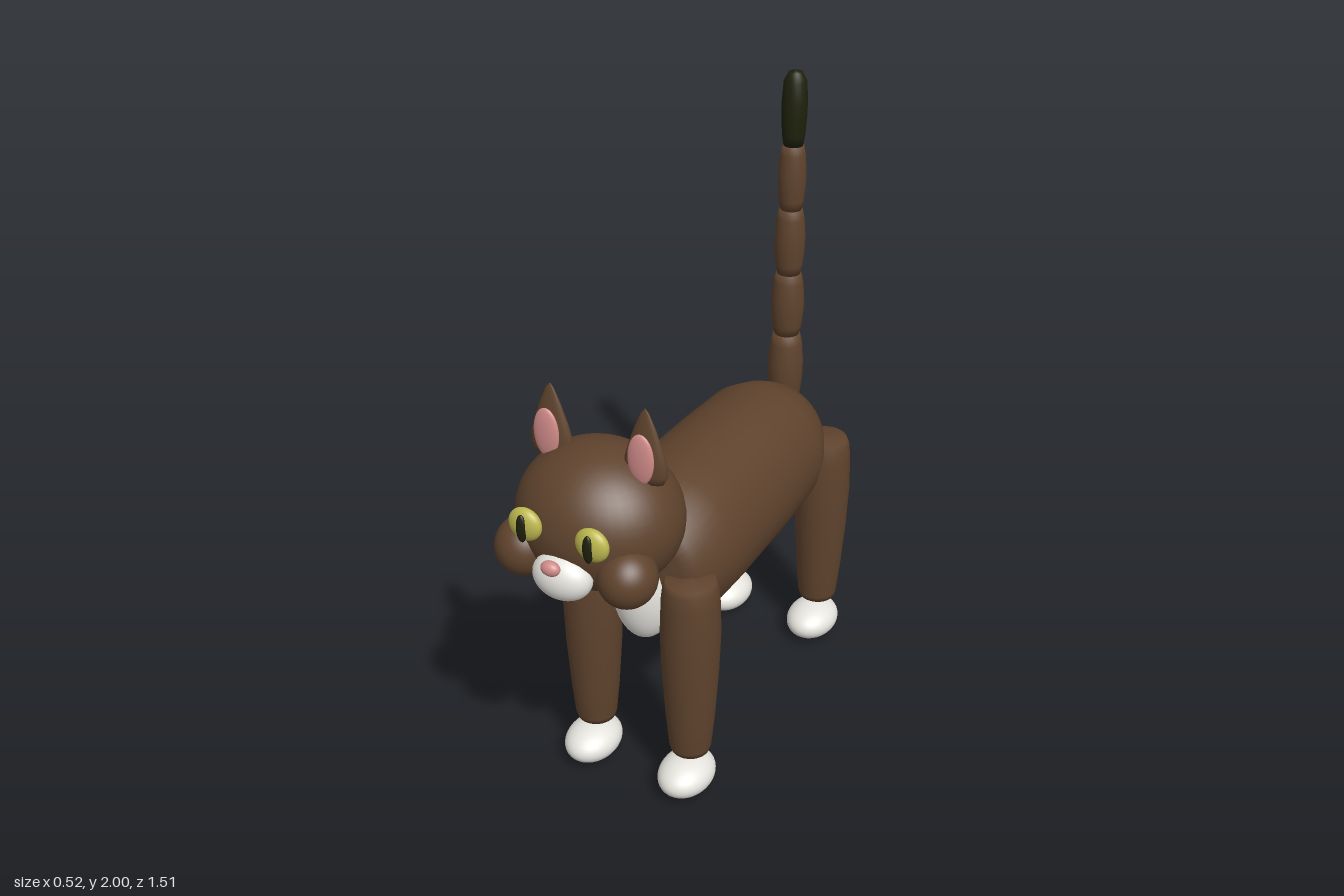
import * as THREE from 'three';

const paint = (name, color) => {
  const m = new THREE.MeshStandardMaterial({ color });
  m.name = name;
  return m;
};

export function createModel() {
  const brown = paint('brown fur', 0x5f432d);
  const white = paint('white fur', 0xe6e4de);
  const pink = paint('pink skin', 0xd18c8a);
  const yellow = paint('yellow iris', 0xbdb84f);
  const dark = paint('dark fur', 0x1f210c);

  const cat = new THREE.Group();
  cat.name = 'cat';

  const add = (name, geometry, material, x, y, z) => {
    const mesh = new THREE.Mesh(geometry, material);
    mesh.name = name;
    mesh.position.set(x, y, z);
    cat.add(mesh);
    return mesh;
  };
  const ellipsoid = (name, material, [x, y, z], [rx, ry, rz]) =>
    add(name, new THREE.SphereGeometry(1, 40, 28).scale(rx, ry, rz), material, x, y, z);
  // Profile points are [radius, height], listed from bottom to top
  const lathe = (points, segments = 36) =>
    new THREE.LatheGeometry(points.map(([r, h]) => new THREE.Vector2(r, h)), segments);

  // Body: a rounded barrel lying along z
  const barrel = lathe([
    [0, -0.69], [0.08, -0.69], [0.14, -0.68], [0.175, -0.65], [0.205, -0.59], [0.23, -0.51],
    [0.24, -0.3], [0.245, 0], [0.243, 0.11], [0.225, 0.21], [0.19, 0.265], [0.15, 0.288], [0, 0.293],
  ], 48).rotateX(Math.PI / 2).scale(0.98, 1.01, 1);
  add('body', barrel, brown, 0, 0.775, 0);
  ellipsoid('chest', white, [0, 0.685, 0.25], [0.1, 0.175, 0.09]);

  // Legs and paws
  const legShape = lathe([
    [0, 0.15], [0.06, 0.15], [0.066, 0.17], [0.076, 0.28], [0.087, 0.45],
    [0.092, 0.6], [0.088, 0.72], [0.083, 0.765], [0.074, 0.785], [0, 0.79],
  ]);
  for (const [end, legZ, pawZ] of [['front', 0.272, 0.295], ['back', -0.66, -0.63]]) {
    for (const [side, s] of [['Left', 1], ['Right', -1]]) {
      add(`${end}${side}Leg`, legShape, brown, s * 0.17, 0, legZ);
      ellipsoid(`${end}${side}Paw`, white, [s * 0.17, 0.065, pawZ], [0.085, 0.061, 0.11]);
    }
  }

  // Tail: stacked bulging segments, the last one dark
  const joints = [0.87, 1.12, 1.335, 1.555, 1.765, 2.0];
  for (let i = 0; i < 5; i++) {
    const y0 = joints[i], h = joints[i + 1] - y0, r = 0.058 - 0.0045 * i;
    const tip = i === 4;
    const shape = lathe([
      [0, 0], [r * 0.76, 0], [r * 0.9, h * 0.14], [r, h * 0.4], [r, h * 0.6],
      [r * 0.9, h * 0.86], [r * (tip ? 0.55 : 0.76), h * (tip ? 0.98 : 1)], [0, h],
    ], 24);
    add(tip ? 'tailTip' : `tailSegment${i + 1}`, shape, tip ? dark : brown, 0, y0, -0.695);
  }

  // Head and face
  ellipsoid('head', brown, [0, 1.085, 0.482], [0.244, 0.216, 0.218]);
  ellipsoid('muzzle', white, [0, 0.995, 0.683], [0.09, 0.07, 0.06]);
  ellipsoid('nose', pink, [0, 1.053, 0.74], [0.029, 0.022, 0.02]);

  const earShape = lathe([
    [0, 0], [0.055, 0.01], [0.067, 0.035], [0.064, 0.07], [0.053, 0.11], [0.032, 0.17], [0.012, 0.215], [0, 0.23],
  ], 28).scale(1, 1, 0.4);
  for (const [side, s] of [['left', 1], ['right', -1]]) {
    ellipsoid(`${side}Cheek`, brown, [s * 0.165, 1.005, 0.618], [0.084, 0.087, 0.087]);
    add(`${side}Ear`, earShape, brown, s * 0.148, 1.225, 0.483);
    ellipsoid(`${side}InnerEar`, pink, [s * 0.148, 1.312, 0.51], [0.04, 0.076, 0.014]);
    ellipsoid(`${side}Eye`, yellow, [s * 0.105, 1.135, 0.694], [0.051, 0.05, 0.026]);
    ellipsoid(`${side}Pupil`, dark, [s * 0.104, 1.132, 0.715], [0.016, 0.043, 0.011]);
  }
  return cat;
}
